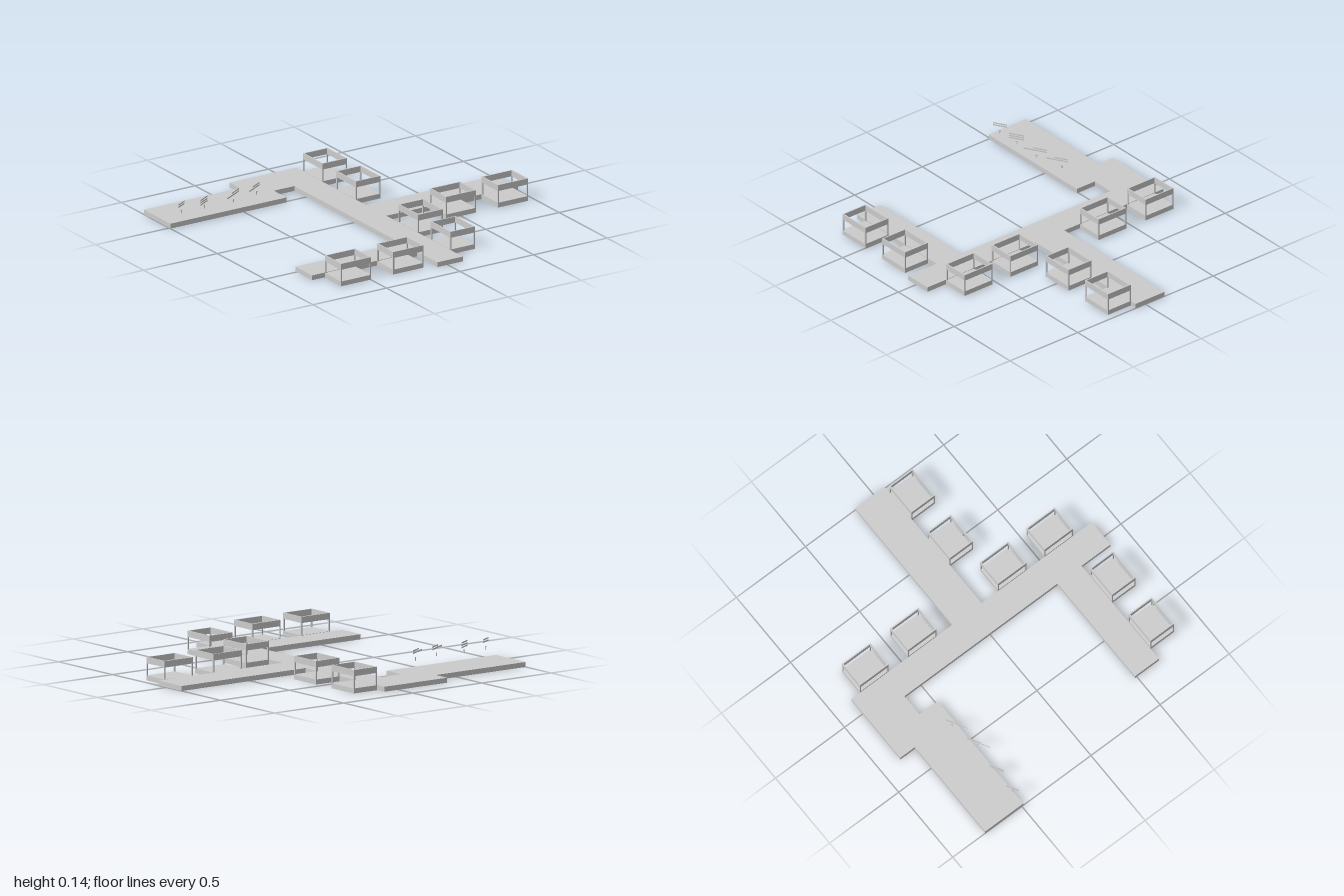
import * as THREE from 'three';

const DECK = 0.029, RING_LOW = 0.1, RING_TOP = 0.136;

export function createModel() {
  const root = new THREE.Group();
  root.name = 'stallPlaza';
  const mat = new THREE.MeshStandardMaterial({ color: 0xcccccc });

  const box = (parent, name, size, pos) => {
    const mesh = new THREE.Mesh(new THREE.BoxGeometry(...size), mat);
    mesh.name = name;
    mesh.position.set(...pos);
    parent.add(mesh);
  };

  // Extrude an x/z outline upwards
  const slab = (shape, height) => {
    const g = new THREE.ExtrudeGeometry(shape, { depth: height, bevelEnabled: false });
    return g.rotateX(-Math.PI / 2);
  };
  const outline = (pts) => pts.map(([x, z]) => new THREE.Vector2(x, -z));

  // Walkway deck: a spine with branching arms
  const deckShape = new THREE.Shape(outline([
    [-1, -0.765], [-0.35, -0.765], [-0.35, -0.87], [0.103, -0.87], [0.103, -0.14],
    [1, -0.14], [1, 0.072], [0.103, 0.072], [0.103, 0.87], [-0.07, 0.87],
    [-0.07, 0.66], [-0.785, 0.66], [-0.785, 0.487], [-0.07, 0.487],
    [-0.07, -0.622], [-0.21, -0.622], [-0.21, -0.49], [-1, -0.49],
  ]));
  const deck = new THREE.Mesh(slab(deckShape, DECK), mat);
  deck.name = 'deck';
  root.add(deck);

  // Booth: platform, four corner posts and an open fascia ring
  const rect = (w, d) => outline([[-w, d], [w, d], [w, -d], [-w, -d]]);
  function addBooth(x, z, w, d) {
    const booth = new THREE.Group();
    booth.name = 'booth';
    booth.position.set(x, 0, z);
    box(booth, 'platform', [w, DECK, d], [0, DECK / 2, 0]);
    const post = 0.007;
    for (const sx of [-1, 1]) for (const sz of [-1, 1]) {
      box(booth, 'post', [post, RING_LOW - DECK, post],
        [sx * (w - post) / 2, (DECK + RING_LOW) / 2, sz * (d - post) / 2]);
    }
    const ring = new THREE.Shape(rect(w / 2, d / 2));
    ring.holes.push(new THREE.Path(rect(w / 2 - 0.007, d / 2 - 0.007)));
    const fascia = new THREE.Mesh(slab(ring, RING_TOP - RING_LOW), mat);
    fascia.name = 'fascia';
    fascia.position.y = RING_LOW;
    booth.add(fascia);
    root.add(booth);
  }
  for (const z of [-0.702, -0.354, 0.297, 0.633]) addBooth(0.19, z, 0.167, 0.205);
  for (const [x, z] of [[0.501, 0.157], [0.854, 0.157], [-0.599, 0.75], [-0.244, 0.75]]) {
    addBooth(x, z, 0.205, 0.169);
  }

  // Floating slanted markers: plain strips with a small pointer below
  // x, z, width, rows, top row's share of the width, pointer offset
  const markers = [
    [-0.917, -0.502, 0.08, 2, 1, 0], [-0.765, -0.498, 0.088, 3, 1, 0.005],
    [-0.577, -0.485, 0.143, 2, 0.6, 0.005], [-0.414, -0.512, 0.132, 2, 0.65, 0.028],
  ];
  for (const [x, z, w, rows, top, shift] of markers) {
    const marker = new THREE.Group();
    marker.name = 'marker';
    marker.position.set(x, 0, z);
    marker.rotation.y = Math.PI / 6;
    for (let i = 0; i < rows; i++) {
      const width = i === 0 ? w * top : w;
      box(marker, 'strip', [width, 0.008, 0.002], [(w - width) / 2, 0.134 - i * 0.0135, 0]);
    }
    box(marker, 'pointer', [0.006, 0.022, 0.002], [shift, 0.082, 0]);
    box(marker, 'pointerHead', [0.014, 0.006, 0.002], [shift, 0.088, 0]);
    root.add(marker);
  }
  return root;
}
